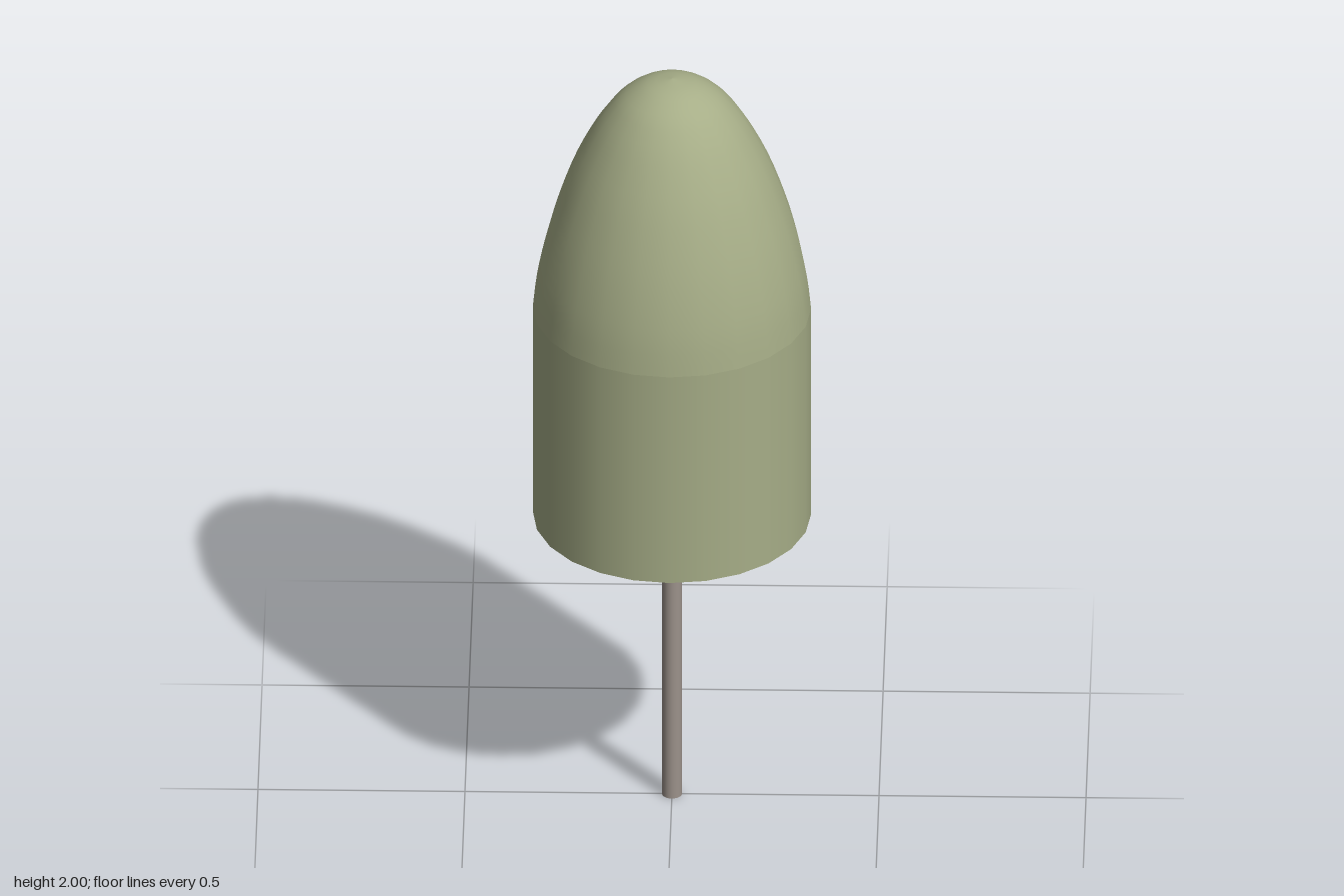
import * as THREE from 'three';

const SIDES = 24;

function part(name, geometry, color, y = 0) {
  const mesh = new THREE.Mesh(geometry, new THREE.MeshStandardMaterial({ color }));
  mesh.name = name;
  mesh.position.y = y;
  return mesh;
}

export function createModel() {
  const group = new THREE.Group();
  group.name = 'bulletOnStick';
  const green = 0xa6ad87, radius = 0.336, base = 0.785, shoulder = 1.36;

  // Straight lower body, closed underneath
  const wall = shoulder - base;
  group.add(part('body', new THREE.CylinderGeometry(radius, radius, wall, SIDES, 1, true), green, base + wall / 2));
  const floor = new THREE.CircleGeometry(radius, SIDES).rotateX(Math.PI / 2);
  group.add(part('bodyBase', floor, green, base));

  // Curved nose with a rounded tip
  const curve = new THREE.SplineCurve([
    [radius, shoulder], [0.326, 1.45], [0.306, 1.55], [0.278, 1.65], [0.238, 1.76],
    [0.19, 1.857], [0.15, 1.917], [0.112, 1.957], [0.06, 1.988], [0, 2],
  ].map(([x, y]) => new THREE.Vector2(x, y)));
  const profile = curve.getPoints(27);
  profile[profile.length - 1].x = 0;
  group.add(part('nose', new THREE.LatheGeometry(profile, SIDES), green));

  // Thin supporting stick
  group.add(part('stick', new THREE.CylinderGeometry(0.024, 0.024, base, SIDES), 0x9c928b, base / 2));

  return group;
}
